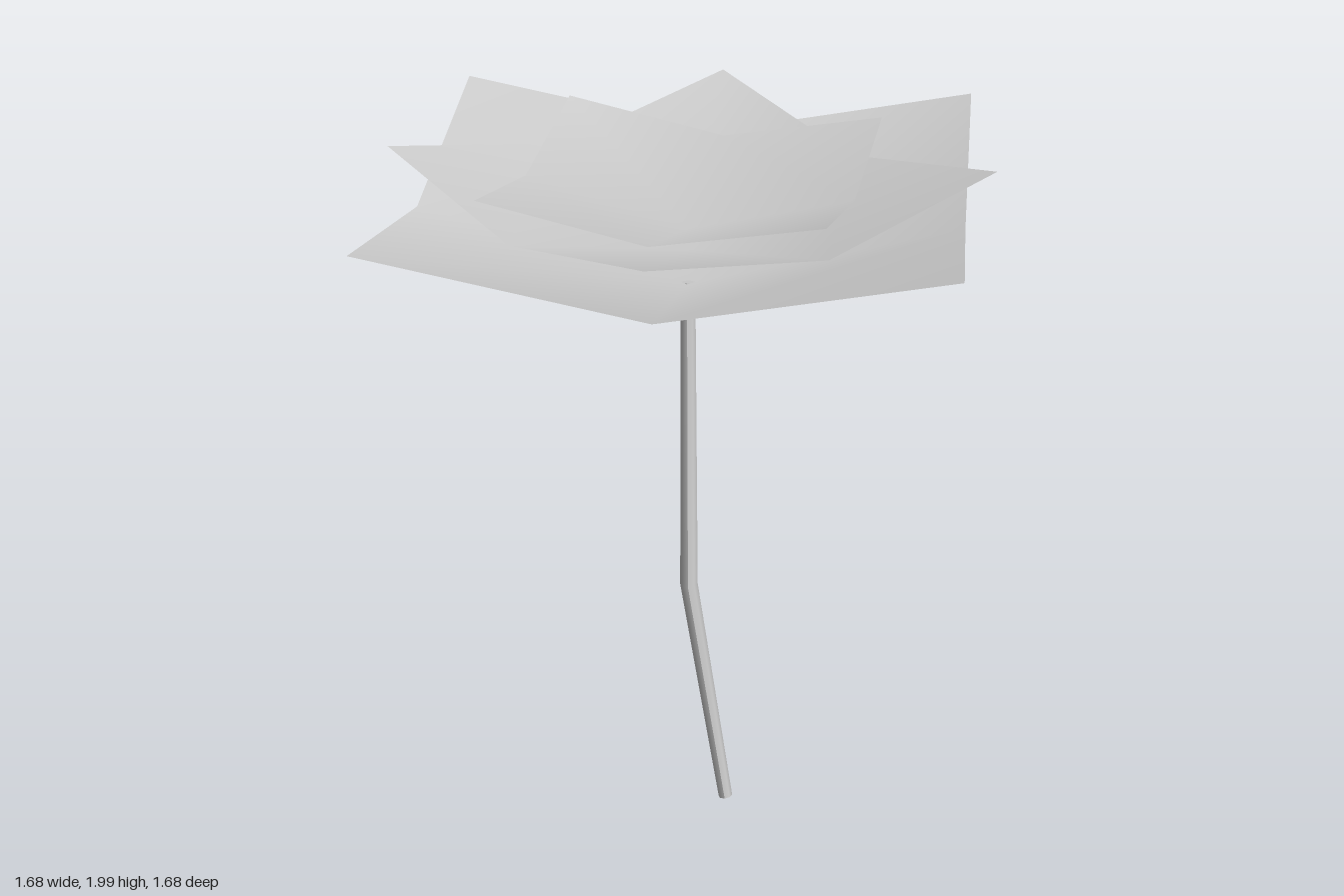
import * as THREE from 'three';

const paleGrey = new THREE.MeshStandardMaterial({ color: 0xcccccc, side: THREE.DoubleSide });
paleGrey.name = 'paleGrey';

// Square sheet of four quads, cupped by lifting its edge middles and corners
function petalLayer(name, halfSide, centreY, degrees) {
  const geo = new THREE.PlaneGeometry(2 * halfSide, 2 * halfSide, 2, 2).rotateX(-Math.PI / 2);
  const pos = geo.attributes.position;
  const lift = [0, 0.256, 0.447]; // centre, edge middle, corner, per unit of half side
  for (let i = 0; i < pos.count; i++) {
    const outer = (Math.abs(pos.getX(i)) > 0.01 ? 1 : 0) + (Math.abs(pos.getZ(i)) > 0.01 ? 1 : 0);
    pos.setY(i, lift[outer] * halfSide);
  }
  geo.computeVertexNormals();
  const mesh = new THREE.Mesh(geo, paleGrey);
  mesh.name = name;
  mesh.position.y = centreY;
  mesh.rotation.y = THREE.MathUtils.degToRad(degrees);
  return mesh;
}

// Bent stem: three rings, each set square to the stem's direction
function stem() {
  const rings = [
    { at: [0.131, 0.012, 0.133], dir: [-0.118, 0.708, -0.04], r: 0.021 },
    { at: [0.014, 0.72, 0.092], dir: [-0.09, 1, -0.08], r: 0.026 },
    { at: [0, 1.635, 0], dir: [-0.014, 0.915, -0.092], r: 0.021 },
  ];
  const geo = new THREE.CylinderGeometry(1, 1, 2, 8, 2);
  const pos = geo.attributes.position;
  const up = new THREE.Vector3(0, 1, 0);
  const v = new THREE.Vector3();
  for (let i = 0; i < pos.count; i++) {
    const ring = rings[Math.round(pos.getY(i)) + 1];
    const turn = new THREE.Quaternion().setFromUnitVectors(up, new THREE.Vector3(...ring.dir).normalize());
    v.set(pos.getX(i) * ring.r, 0, pos.getZ(i) * ring.r).applyQuaternion(turn);
    pos.setXYZ(i, v.x + ring.at[0], v.y + ring.at[1], v.z + ring.at[2]);
  }
  geo.computeVertexNormals();
  const mesh = new THREE.Mesh(geo, paleGrey);
  mesh.name = 'stem';
  return mesh;
}

export function createModel() {
  const flower = new THREE.Group();
  flower.name = 'flower';
  flower.add(
    stem(),
    petalLayer('outerPetals', 0.762, 1.63, 0),
    petalLayer('middlePetals', 0.593, 1.73, 44.4),
    petalLayer('innerPetals', 0.463, 1.793, 83.8),
  );
  return flower;
}
